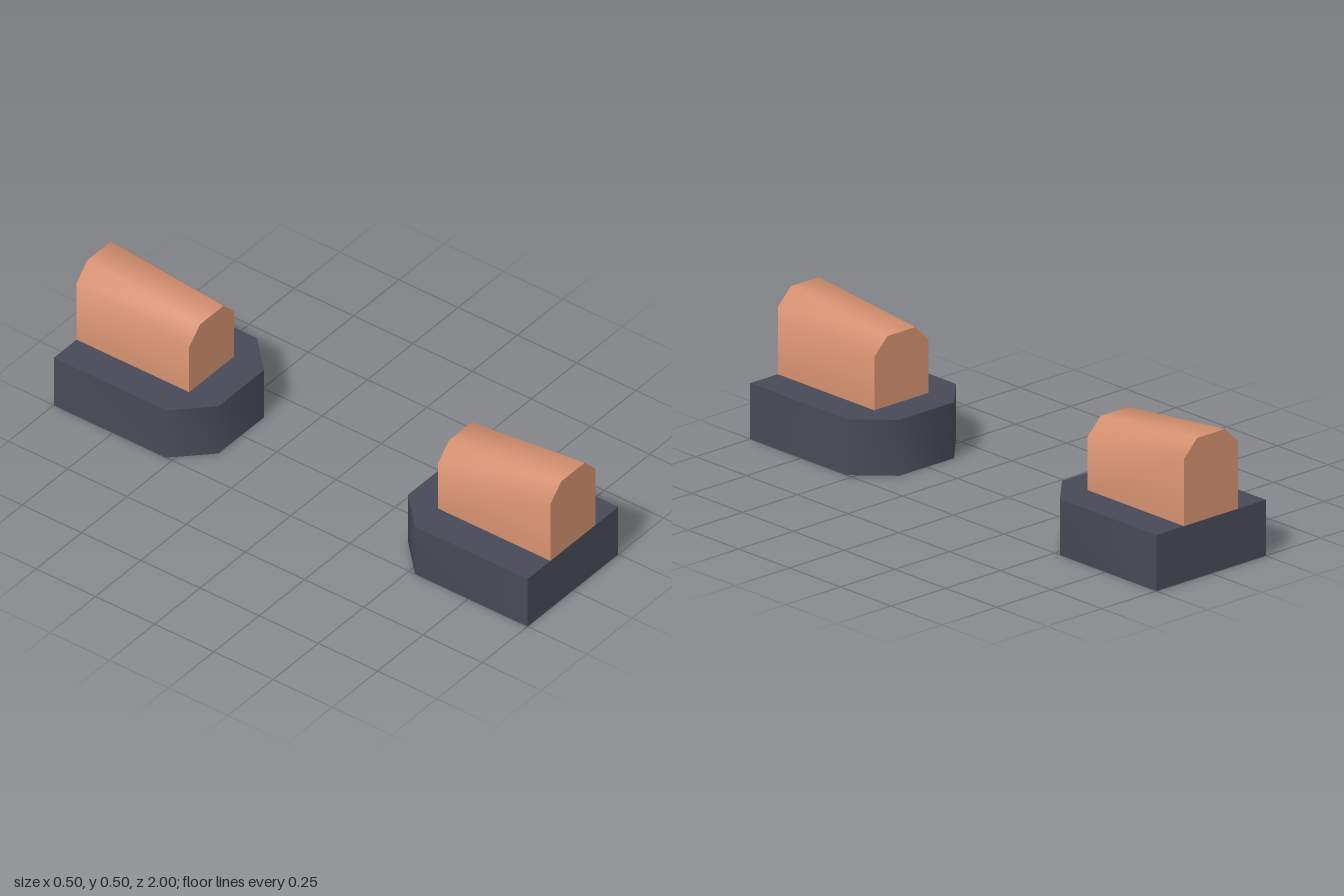
import * as THREE from 'three';
import { toCreasedNormals } from 'three/addons/utils/BufferGeometryUtils.js';

const slate = new THREE.MeshStandardMaterial({ color: 0x474a57 });
slate.name = 'slate';
const terracotta = new THREE.MeshStandardMaterial({ color: 0xd4906f });
terracotta.name = 'terracotta';

const CREASE = THREE.MathUtils.degToRad(50);

// Extrude an outline given as [x, y] points
function extrude(points, depth) {
  const shape = new THREE.Shape(points.map(([x, y]) => new THREE.Vector2(x, y)));
  return new THREE.ExtrudeGeometry(shape, { depth, bevelEnabled: false });
}

function part(name, geometry, material) {
  const mesh = new THREE.Mesh(toCreasedNormals(geometry, CREASE), material);
  mesh.name = name;
  return mesh;
}

// One end: plinth with clipped inner corners and a sloping ridge block on top
function createEnd(name) {
  const group = new THREE.Group();
  group.name = name;

  // Plan outline, drawn with -z up, then laid flat
  const base = extrude([
    [-0.25, -1], [0.25, -1], [0.25, -0.525],
    [0.125, -0.4], [-0.125, -0.4], [-0.25, -0.525],
  ], 0.2);
  base.rotateX(-Math.PI / 2);
  group.add(part('base', base, slate));

  // Block with chamfered top edges, its top dropping towards the inner end
  const block = extrude([
    [-0.124, 0.2], [0.124, 0.2], [0.124, 0.44],
    [0.064, 0.5], [-0.064, 0.5], [-0.124, 0.44],
  ], 0.475);
  block.translate(0, 0, 0.525);
  const pos = block.attributes.position;
  for (let i = 0; i < pos.count; i++) {
    if (pos.getY(i) > 0.3) {
      pos.setY(i, pos.getY(i) - 0.05 * (1 - pos.getZ(i)) / 0.475);
    }
  }
  group.add(part('ridgeBlock', block, terracotta));
  return group;
}

export function createModel() {
  const model = new THREE.Group();
  model.name = 'pairedBlocks';
  const back = createEnd('backEnd');
  back.rotation.y = Math.PI;
  model.add(createEnd('frontEnd'), back);
  return model;
}
